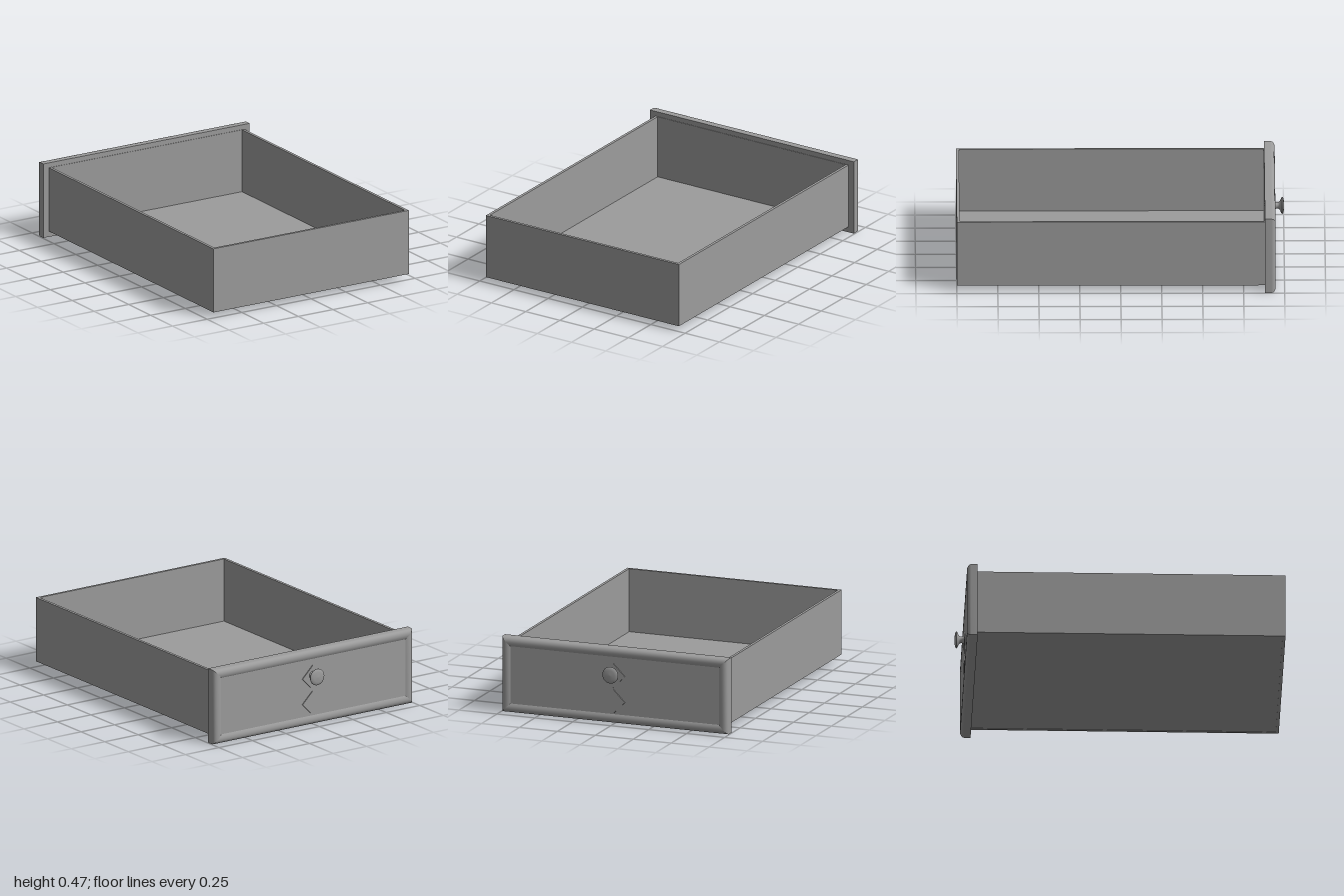
import * as THREE from 'three';

const material = new THREE.MeshStandardMaterial({ color: 0x9c9c9c });

function add(group, name, geometry, x = 0, y = 0, z = 0) {
  const mesh = new THREE.Mesh(geometry, material);
  mesh.name = name;
  mesh.position.set(x, y, z);
  group.add(mesh);
  return mesh;
}

// Rectangular moulding: nested rectangles given as [inset, height], mitred at the corners.
// Faces +z, with a closed front and back.
function mouldedPanel(w, h, profile) {
  const pos = [], index = [];
  const corner = ([inset, z], k) => {
    const x = w / 2 - inset, y = h / 2 - inset;
    return [k === 0 || k === 3 ? -x : x, k < 2 ? -y : y, z];
  };
  const quad = (a, b, c, d) => index.push(a, b, c, a, c, d);
  for (let side = 0; side < 4; side++) {
    const base = pos.length / 3;
    profile.forEach(p => pos.push(...corner(p, side), ...corner(p, (side + 1) % 4)));
    for (let i = 0; i < profile.length - 1; i++) {
      const a = base + i * 2;
      quad(a, a + 1, a + 3, a + 2);
    }
  }
  const cap = (p, order) => {
    const base = pos.length / 3;
    order.forEach(k => pos.push(...corner(p, k)));
    quad(base, base + 1, base + 2, base + 3);
  };
  cap(profile[profile.length - 1], [0, 1, 2, 3]);
  cap(profile[0], [3, 2, 1, 0]);
  const g = new THREE.BufferGeometry();
  g.setAttribute('position', new THREE.Float32BufferAttribute(pos, 3));
  g.setIndex(index);
  g.computeVertexNormals();
  return g;
}

export function createModel() {
  const drawer = new THREE.Group();
  drawer.name = 'drawer';

  // Open box
  const halfW = 0.705, bottom = 0.036, top = 0.444, wall = 0.018;
  const h = top - bottom, midY = (top + bottom) / 2;
  const zFace = -0.88, zEnd = 1, length = zEnd - zFace, midZ = (zEnd + zFace) / 2;
  for (const s of [-1, 1]) {
    add(drawer, s > 0 ? 'leftWall' : 'rightWall',
      new THREE.BoxGeometry(wall, h, length), s * (halfW - wall / 2), midY, midZ);
  }
  const innerW = 2 * (halfW - wall);
  add(drawer, 'endWall', new THREE.BoxGeometry(innerW, h, wall), 0, midY, zEnd - wall / 2);
  add(drawer, 'wallBehindFace', new THREE.BoxGeometry(innerW, h, 0.003), 0, midY, zFace + 0.0015);
  add(drawer, 'floor', new THREE.BoxGeometry(innerW, 0.008, length - wall), 0, bottom + 0.007, midZ - wall / 2);

  // Drawer face, turned to look along -z
  const face = new THREE.Group();
  face.name = 'face';
  face.rotation.y = Math.PI;
  face.position.set(0, 0.2375, zFace);
  drawer.add(face);
  const panelZ = 0.056;
  add(face, 'mouldedPanel', mouldedPanel(1.49, 0.475, [
    [0, 0], [0, 0.04], [0.003, 0.051], [0.01, 0.059], [0.02, 0.064],
    [0.032, 0.065], [0.044, 0.063], [0.054, 0.058], [0.057, panelZ],
  ]));

  // Two slightly raised diamonds, the upper one behind the knob
  for (const [name, y] of [['upperDiamond', 0.063], ['lowerDiamond', -0.1]]) {
    add(face, name, new THREE.BoxGeometry(0.108, 0.108, 0.012), -0.008, y, panelZ)
      .rotation.z = Math.PI / 4;
  }

  // Turned knob
  const profile = [
    [0.028, 0], [0.024, 0.01], [0.02, 0.018], [0.02, 0.028], [0.024, 0.036],
    [0.034, 0.042], [0.046, 0.047], [0.052, 0.052], [0.052, 0.055],
    [0.044, 0.06], [0.03, 0.063], [0, 0.065],
  ].map(p => new THREE.Vector2(...p));
  add(face, 'knob', new THREE.LatheGeometry(profile, 32), -0.008, 0.0775, panelZ - 0.001)
    .rotation.x = Math.PI / 2;

  return drawer;
}
